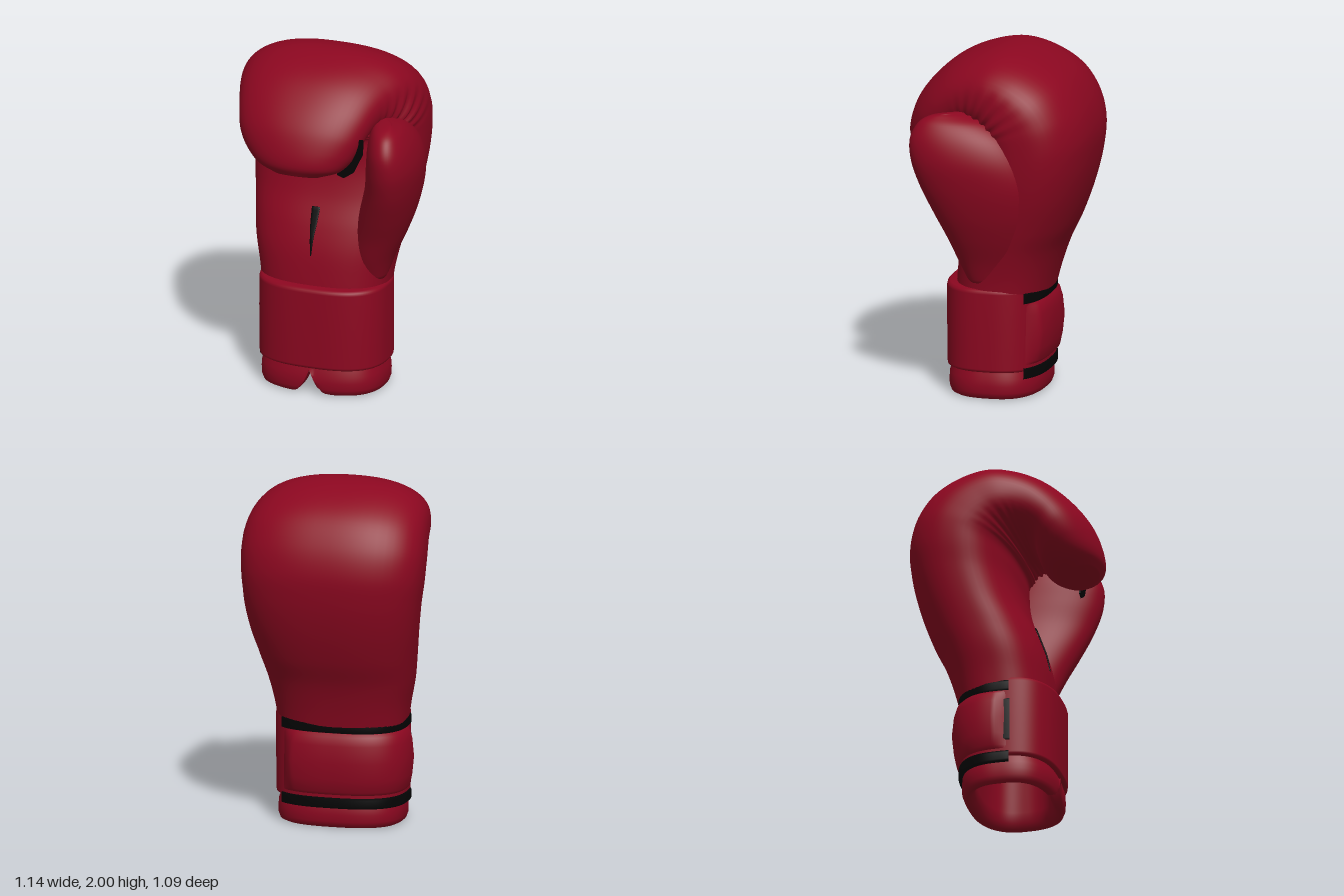
import * as THREE from 'three';

const red = new THREE.MeshStandardMaterial({ color: 0x8c0720, side: THREE.DoubleSide });
red.name = 'red leather';
const black = new THREE.MeshStandardMaterial({ color: 0x040404, side: THREE.DoubleSide });
black.name = 'black trim';

// Rounded-square outline: radius at an angle
const roundSquare = (a, n) =>
  Math.pow(Math.pow(Math.abs(Math.cos(a)), n) + Math.pow(Math.abs(Math.sin(a)), n), -1 / n);

// Smooth skin from rows (v) of points around an angle (u)
function skin(nu, nv, closed, point) {
  const pos = [], index = [], cols = closed ? nu : nu + 1;
  for (let j = 0; j <= nv; j++)
    for (let i = 0; i < cols; i++) pos.push(...point(i / nu, j));
  for (let j = 0; j < nv; j++)
    for (let i = 0; i < nu; i++) {
      const a = j * cols + i, b = j * cols + (i + 1) % cols, c = a + cols, d = b + cols;
      index.push(a, c, b, b, c, d);
    }
  const g = new THREE.BufferGeometry();
  g.setAttribute('position', new THREE.Float32BufferAttribute(pos, 3));
  g.setIndex(index);
  g.computeVertexNormals();
  return g;
}

// Loft between a back rail and a front rail; station: [backZ, backY, frontZ, frontY, minX, maxX]
// lean slides the front of each section sideways
function loft(stations, steps, radius, lean = 0) {
  const rail = (x, y, z) => new THREE.CatmullRomCurve3(stations.map(s => new THREE.Vector3(s[x], s[y], s[z])));
  const back = rail(4, 1, 0), front = rail(5, 3, 2);
  return skin(64, steps + 2, true, (u, j) => {
    const t = Math.min(1, Math.max(0, (j - 1) / steps));
    const cap = j === 0 || j === steps + 2 ? 0 : 1;
    const b = back.getPoint(t), f = front.getPoint(t), a = u * Math.PI * 2;
    const r = cap * radius(a, t);
    const c = r * Math.cos(a), s = r * Math.sin(a);
    return [
      (b.x + f.x) / 2 + c * (f.x - b.x) / 2 + s * lean,
      (b.y + f.y) / 2 + s * (f.y - b.y) / 2,
      (b.z + f.z) / 2 + s * (f.z - b.z) / 2
    ];
  });
}

// Band around the wrist; profile: [outset, y], between two angles
function wrist(profile, from = 0, to = Math.PI * 2, { taper = false, floor = () => 0 } = {}) {
  const closed = to - from > 6.28;
  return skin(closed ? 144 : 72, profile.length - 1, closed, (u, j) => {
    const a = from + (to - from) * u, r = roundSquare(a, 2.65);
    const o = profile[j][0] * (taper ? Math.min(1, 3.5 * Math.sin(Math.PI * u)) : 1);
    const x = -0.035 + (0.375 + o) * r * Math.cos(a);
    const z = 0.02 + (0.285 + o) * r * Math.sin(a);
    return [x, Math.max(profile[j][1], floor(x, z)), z];
  });
}

export function createModel() {
  const group = new THREE.Group();
  const add = (name, geometry, material) => {
    const mesh = new THREE.Mesh(geometry, material);
    mesh.name = name;
    group.add(mesh);
  };

  // Hand: rises from the wrist and curls forward over the palm
  const hand = [
    [-0.25, 0.5, 0.26, 0.5, -0.4, 0.32],
    [-0.30, 0.7, 0.25, 0.68, -0.43, 0.34],
    [-0.35, 0.85, 0.23, 0.84, -0.465, 0.37],
    [-0.42, 1.0, 0.19, 0.98, -0.49, 0.405],
    [-0.49, 1.2, 0.12, 1.15, -0.52, 0.445],
    [-0.53, 1.38, 0.08, 1.3, -0.545, 0.47],
    [-0.54, 1.54, 0.07, 1.4, -0.565, 0.482],
    [-0.50, 1.7, 0.07, 1.48, -0.573, 0.487],
    [-0.40, 1.85, 0.09, 1.5, -0.567, 0.484],
    [-0.23, 1.955, 0.1, 1.52, -0.555, 0.465],
    [-0.05, 2.0, 0.13, 1.53, -0.54, 0.43],
    [0.12, 1.975, 0.15, 1.53, -0.515, 0.385],
    [0.27, 1.91, 0.17, 1.52, -0.485, 0.35],
    [0.40, 1.8, 0.19, 1.5, -0.455, 0.32],
    [0.49, 1.68, 0.2, 1.46, -0.425, 0.29],
    [0.535, 1.56, 0.22, 1.42, -0.37, 0.25],
    [0.545, 1.47, 0.28, 1.385, -0.29, 0.19],
    [0.515, 1.41, 0.36, 1.37, -0.18, 0.08]
  ];
  // Rounder towards the fingertips, with puckered folds on the sides of the curl
  const handRadius = (a, t) => {
    const n = 2.5 - 0.4 * THREE.MathUtils.smoothstep(t, 0.5, 0.85);
    const zone = Math.max(0, 1 - Math.abs(t - 0.56) / 0.16);
    const side = Math.max(0, Math.sin(a + 0.35)) * Math.abs(Math.cos(a));
    return roundSquare(a, n) * (1 - 0.04 * zone * side * (1 + Math.sin(t * 150)));
  };
  add('hand', loft(hand, 110, handRadius), red);

  // Thumb, its back edge sinking into the hand
  add('thumb', loft([
    [-0.16, 0.68, 0.13, 0.68, 0.1, 0.325],
    [-0.22, 0.8, 0.18, 0.8, 0.11, 0.37],
    [-0.26, 0.95, 0.235, 0.95, 0.14, 0.44],
    [-0.29, 1.1, 0.3, 1.1, 0.18, 0.5],
    [-0.29, 1.27, 0.37, 1.27, 0.23, 0.547],
    [-0.24, 1.42, 0.415, 1.42, 0.255, 0.565],
    [-0.16, 1.54, 0.42, 1.54, 0.275, 0.545],
    [-0.04, 1.63, 0.375, 1.63, 0.3, 0.5],
    [0.07, 1.67, 0.31, 1.67, 0.33, 0.45],
    [0.14, 1.685, 0.23, 1.685, 0.37, 0.41]
  ], 50, a => roundSquare(a, 2.1), 0.04), red);

  // Dark web joining thumb and fingers
  const web = new THREE.Shape();
  web.moveTo(0.16, 1.39);
  web.lineTo(0.2, 1.375);
  web.lineTo(0.26, 1.415);
  web.lineTo(0.315, 1.53);
  web.lineTo(0.32, 1.62);
  web.lineTo(0.26, 1.62);
  web.lineTo(0.17, 1.48);
  const webGeometry = new THREE.ExtrudeGeometry(web, { depth: 0.009, bevelEnabled: false });
  webGeometry.translate(0, 0, 0.35);
  add('thumbWeb', webGeometry, black);

  // Narrow vent in the palm, following its slope
  add('palmVent', loft([
    [0.230, 0.82, 0.238, 0.82, -0.052, -0.046],
    [0.214, 0.91, 0.222, 0.91, -0.06, -0.04],
    [0.187, 0.99, 0.195, 0.99, -0.068, -0.03],
    [0.150, 1.09, 0.158, 1.09, -0.072, -0.022]
  ], 16, a => roundSquare(a, 3)), black);

  // Cuff
  add('cuff', wrist([
    [-0.06, 0.162], [-0.012, 0.162], [-0.002, 0.168], [0, 0.18], [0.002, 0.4],
    [0.002, 0.62], [-0.002, 0.636], [-0.015, 0.645], [-0.07, 0.65]
  ]), red);

  // Hollow skirt below the cuff, with two rounded flaps meeting at the front
  const split = (x, z) => z > 0 ? 0.15 * Math.max(0, 1 - Math.abs(x + 0.035) / 0.14) ** 2.6 : 0;
  add('skirt', wrist([
    [-0.1, 0.52], [-0.09, 0.1], [-0.08, 0.04], [-0.06, 0.01], [-0.04, 0.002], [-0.022, 0.012],
    [-0.012, 0.04], [-0.011, 0.08], [-0.014, 0.12], [-0.025, 0.15], [-0.03, 0.18]
  ], 0, Math.PI * 2, { floor: split }), red);

  // Closing strap across the back, with its dark fastening edge
  add('strap', wrist([
    [0, 0.2], [0.02, 0.22], [0.034, 0.29], [0.044, 0.39], [0.034, 0.49], [0.02, 0.54], [0, 0.56]
  ], Math.PI - 0.18, 5.5, { taper: true }), red);
  add('strapFastening', wrist([
    [0, 0.25], [0.008, 0.26], [0.008, 0.5], [0, 0.51]
  ], Math.PI - 0.24, Math.PI - 0.12), black);

  // Black piping above and below the strap, almost flush with the cuff
  for (const [name, y] of [['upperPiping', 0.56], ['lowerPiping', 0.122]])
    add(name, wrist([
      [-0.02, y - 0.003], [0.005, y], [0.008, y + 0.01], [0.008, y + 0.05], [0.005, y + 0.06], [-0.02, y + 0.063]
    ], Math.PI - 0.22, 5.54), black);

  return group;
}
